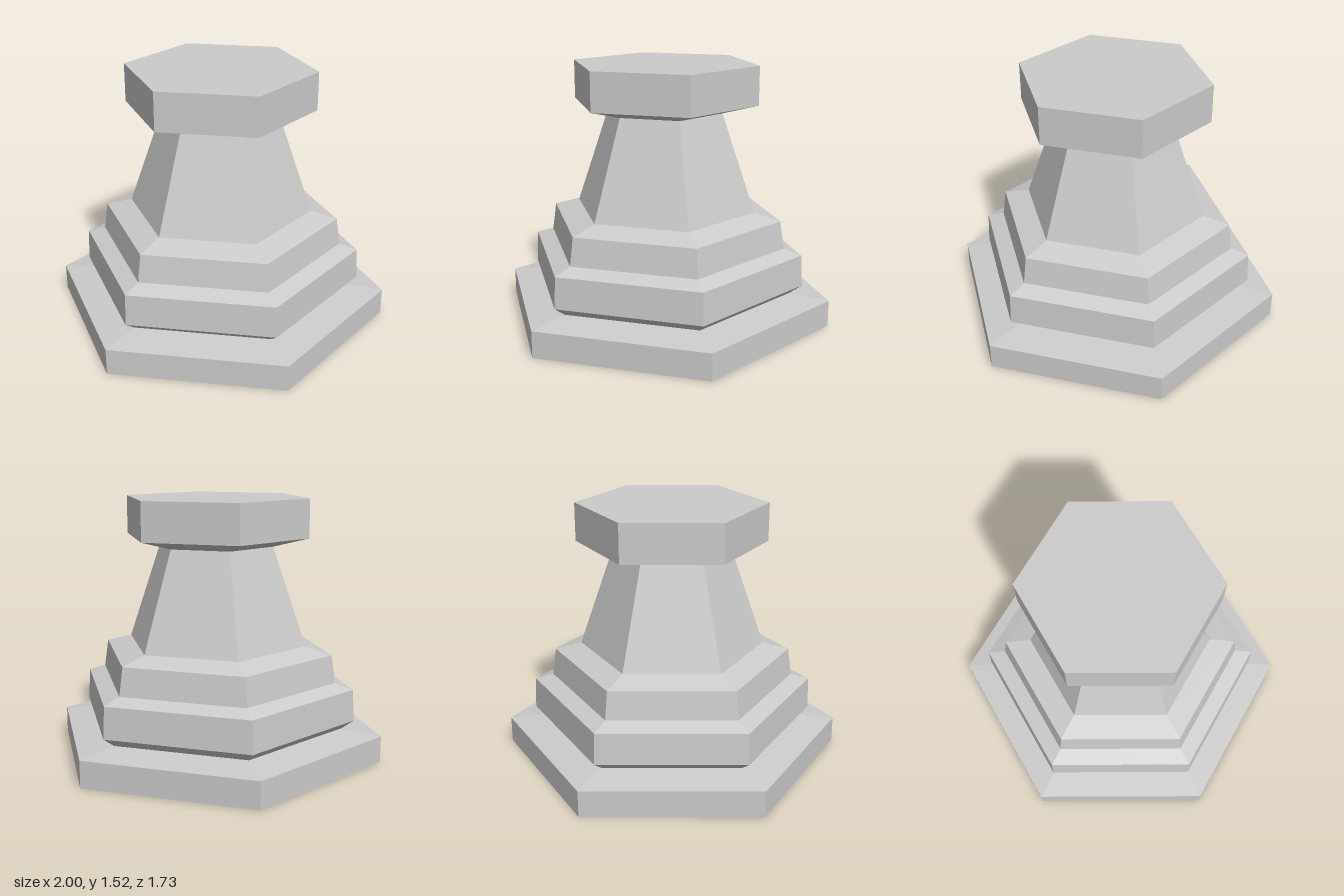
import * as THREE from 'three';

const SIDES = 6;

// Hexagonal ring of faces turned from a [radius, height] profile, listed bottom to top
function turned(name, profile, material) {
  const points = profile.map(([r, y]) => new THREE.Vector2(r, y));
  const geometry = new THREE.LatheGeometry(points, SIDES, Math.PI / 2).toNonIndexed();
  geometry.computeVertexNormals();
  const mesh = new THREE.Mesh(geometry, material);
  mesh.name = name;
  return mesh;
}

export function createModel() {
  const group = new THREE.Group();
  group.name = 'hexagonalPedestal';
  const material = new THREE.MeshStandardMaterial({ color: 0xcccccc, flatShading: true });

  // Neighbouring parts share their end rings, so the stack is one closed skin
  const parts = {
    base: [[0, 0], [1, 0], [1, 0.157], [0.77, 0.184]],
    lowerTier: [[0.77, 0.184], [0.84, 0.237], [0.83, 0.422], [0.725, 0.456]],
    upperTier: [[0.725, 0.456], [0.7, 0.619], [0.545, 0.662]],
    neck: [[0.545, 0.662], [0.346, 1.237]],
    cap: [[0.346, 1.237], [0.555, 1.291], [0.555, 1.516], [0, 1.516]],
  };
  for (const [name, profile] of Object.entries(parts)) {
    group.add(turned(name, profile, material));
  }
  return group;
}
